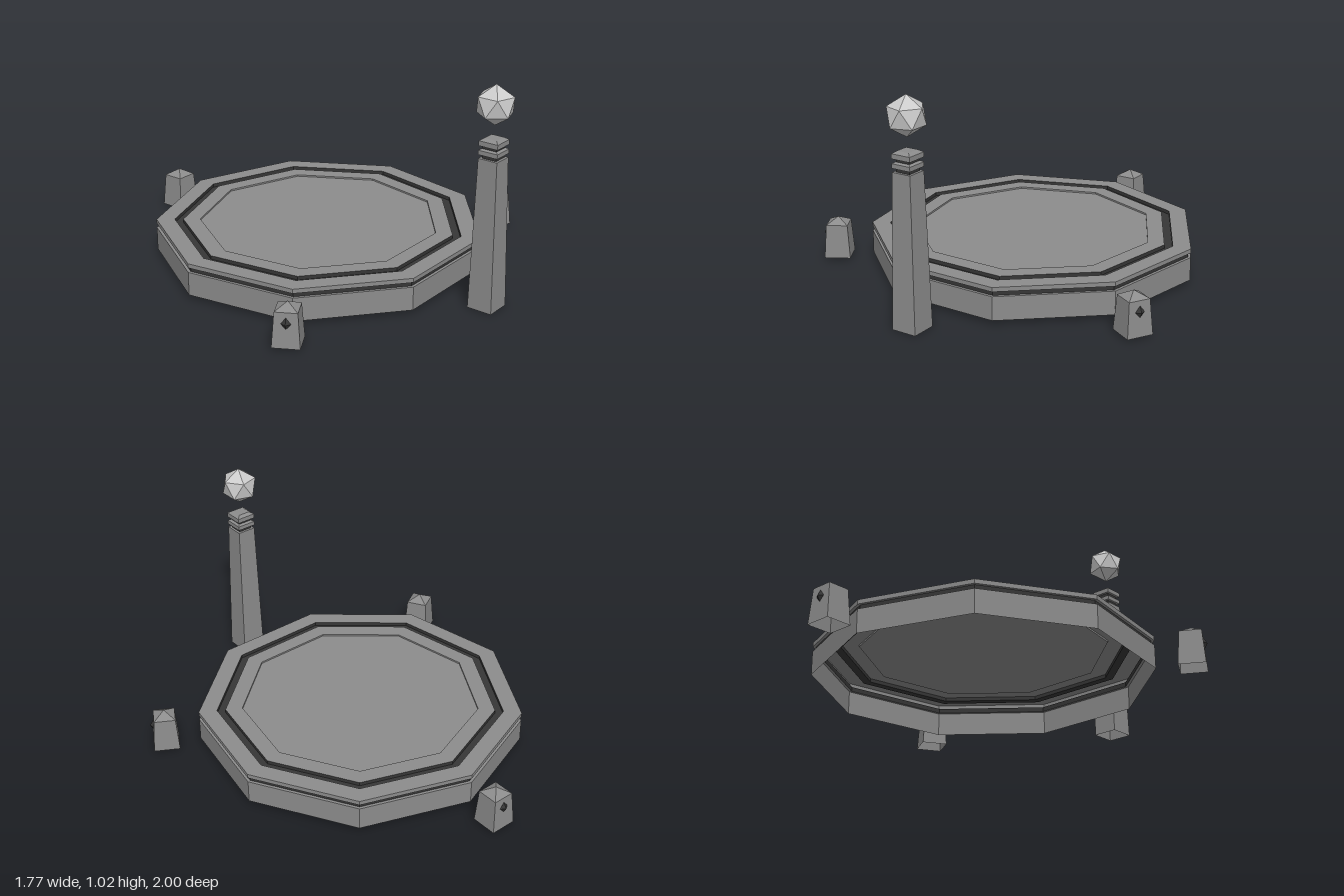
import * as THREE from 'three';

const mat = (color) => new THREE.MeshStandardMaterial({ color, flatShading: true, side: THREE.DoubleSide });

export function createModel() {
  const group = new THREE.Group();
  const stone = mat(0x8c8c8c), dark = mat(0x363636), pale = mat(0xcccccc);

  function add(parent, name, geometry, material, x = 0, y = 0, z = 0) {
    const mesh = new THREE.Mesh(geometry, material);
    mesh.name = name;
    mesh.position.set(x, y, z);
    parent.add(mesh);
    return mesh;
  }

  // Square tapered block given half widths and its bottom and top heights
  function block(parent, name, bottom, top, y0, y1, material, open = false) {
    const g = new THREE.CylinderGeometry(top * Math.SQRT2, bottom * Math.SQRT2, y1 - y0, 4, 1, open);
    g.rotateY(Math.PI / 4);
    return add(parent, name, g, material, 0, (y0 + y1) / 2);
  }

  // Nine-sided platform, open underneath, with one corner at the back
  const platform = new THREE.Group();
  platform.name = 'platform';
  platform.position.z = -0.009;
  group.add(platform);
  const ring = (name, profile, material) => add(platform, name,
    new THREE.LatheGeometry(profile.map(([r, y]) => new THREE.Vector2(r, y)), 9, Math.PI), material);
  ring('platformWall', [[0.771, 0.02], [0.771, 0.13], [0.757, 0.13]], stone);
  ring('wallGroove', [[0.757, 0.13], [0.757, 0.152]], dark);
  ring('platformRim', [[0.757, 0.152], [0.771, 0.152], [0.771, 0.172], [0.685, 0.172]], stone);
  ring('floorGroove', [[0.685, 0.172], [0.685, 0.155], [0.645, 0.155], [0.645, 0.172]], dark);
  ring('platformFloor', [[0.645, 0.172], [0.565, 0.172], [0.565, 0.164], [0, 0.164]], stone);

  // Tall pillar with stacked collars and a floating crystal
  const pillar = new THREE.Group();
  pillar.name = 'pillar';
  pillar.position.z = 0.923;
  group.add(pillar);
  block(pillar, 'pillarShaft', 0.06, 0.046, 0, 0.695, stone, true);
  block(pillar, 'shaftTop', 0.046, 0.046, 0.693, 0.695, stone);
  block(pillar, 'lowerNeck', 0.034, 0.034, 0.695, 0.712, dark);
  block(pillar, 'collar', 0.047, 0.047, 0.712, 0.732, stone);
  block(pillar, 'collarBevel', 0.047, 0.036, 0.732, 0.738, stone);
  block(pillar, 'upperNeck', 0.034, 0.034, 0.738, 0.752, dark);
  block(pillar, 'capital', 0.047, 0.047, 0.752, 0.774, stone);
  block(pillar, 'capitalBevel', 0.047, 0.03, 0.774, 0.785, stone);
  const crystal = new THREE.IcosahedronGeometry(0.09, 0);
  crystal.rotateZ(-Math.atan(2 / (1 + Math.sqrt(5))));
  add(pillar, 'crystal', crystal, pale, 0, 0.93, 0);

  // Three short posts around the platform, each with a gem on its outer face
  [1, 3, 5].forEach((k) => {
    const angle = (k * Math.PI) / 3;
    const post = new THREE.Group();
    post.name = 'post';
    post.position.set(0.928 * Math.sin(angle), 0, 0.928 * Math.cos(angle));
    post.rotation.y = angle;
    group.add(post);
    block(post, 'postBody', 0.061, 0.05, 0.01, 0.17, stone, true);
    block(post, 'postCap', 0.05, 0, 0.17, 0.2, stone, true);
    add(post, 'gem', new THREE.OctahedronGeometry(1, 0), dark, 0, 0.12, 0.053).scale.set(0.022, 0.028, 0.016);
  });

  // The middle post stands at the back
  const posts = group.children.filter((c) => c.name === 'post');
  posts[1].name = 'backPost';
  posts[0].name = 'leftPost';
  posts[2].name = 'rightPost';
  return group;
}
